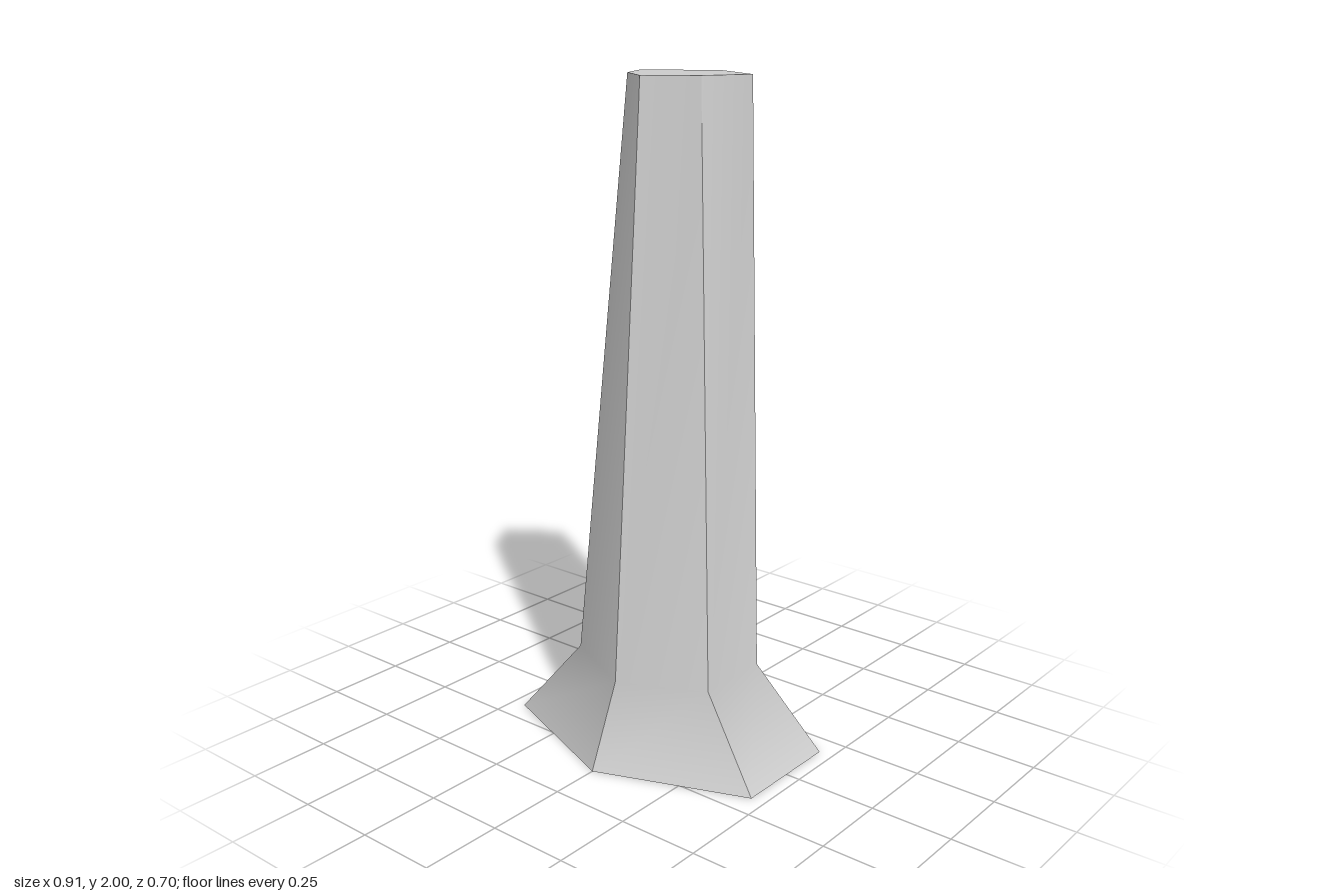
import * as THREE from 'three';

// Hexagonal rings, ordered back, left back, left front, front, right front, right back
const ring = (y, back, [bx, bz], [fx, fz], front) => [
  [0, y, back], [bx, y, bz], [fx, y, fz], [0, y, front], [-fx, y, fz], [-bx, y, bz],
];

function makeMesh(name, points, index, material) {
  const geometry = new THREE.BufferGeometry();
  geometry.setAttribute('position', new THREE.Float32BufferAttribute(points.flat(), 3));
  geometry.setIndex(index);
  geometry.computeVertexNormals();
  const mesh = new THREE.Mesh(geometry, material);
  mesh.name = name;
  return mesh;
}

export function createModel() {
  const group = new THREE.Group();
  group.name = 'pillar';
  const material = new THREE.MeshStandardMaterial({ color: 0xcccccc });

  const rings = [
    ring(0, -0.35, [0.455, -0.175], [0.455, 0.175], 0.35),
    ring(0.25, -0.243, [0.253, -0.122], [0.253, 0.12], 0.243),
    ring(2, -0.246, [0.202, -0.124], [0.132, 0.016], 0.117),
  ];

  // Side panels: smooth from flared foot into shaft, sharp at the six corners
  for (let i = 0; i < 6; i++) {
    const j = (i + 1) % 6;
    const points = rings.flatMap((r) => [r[i], r[j]]);
    const index = [];
    for (let k = 0; k < 4; k += 2) index.push(k + 1, k, k + 2, k + 1, k + 2, k + 3);
    group.add(makeMesh(`sidePanel${i + 1}`, points, index, material));
  }

  // Flat ends
  const up = [], down = [];
  for (let i = 1; i < 5; i++) {
    up.push(0, i + 1, i);
    down.push(0, i, i + 1);
  }
  group.add(makeMesh('topCap', rings[2], up, material));
  group.add(makeMesh('baseCap', rings[0], down, material));
  return group;
}
